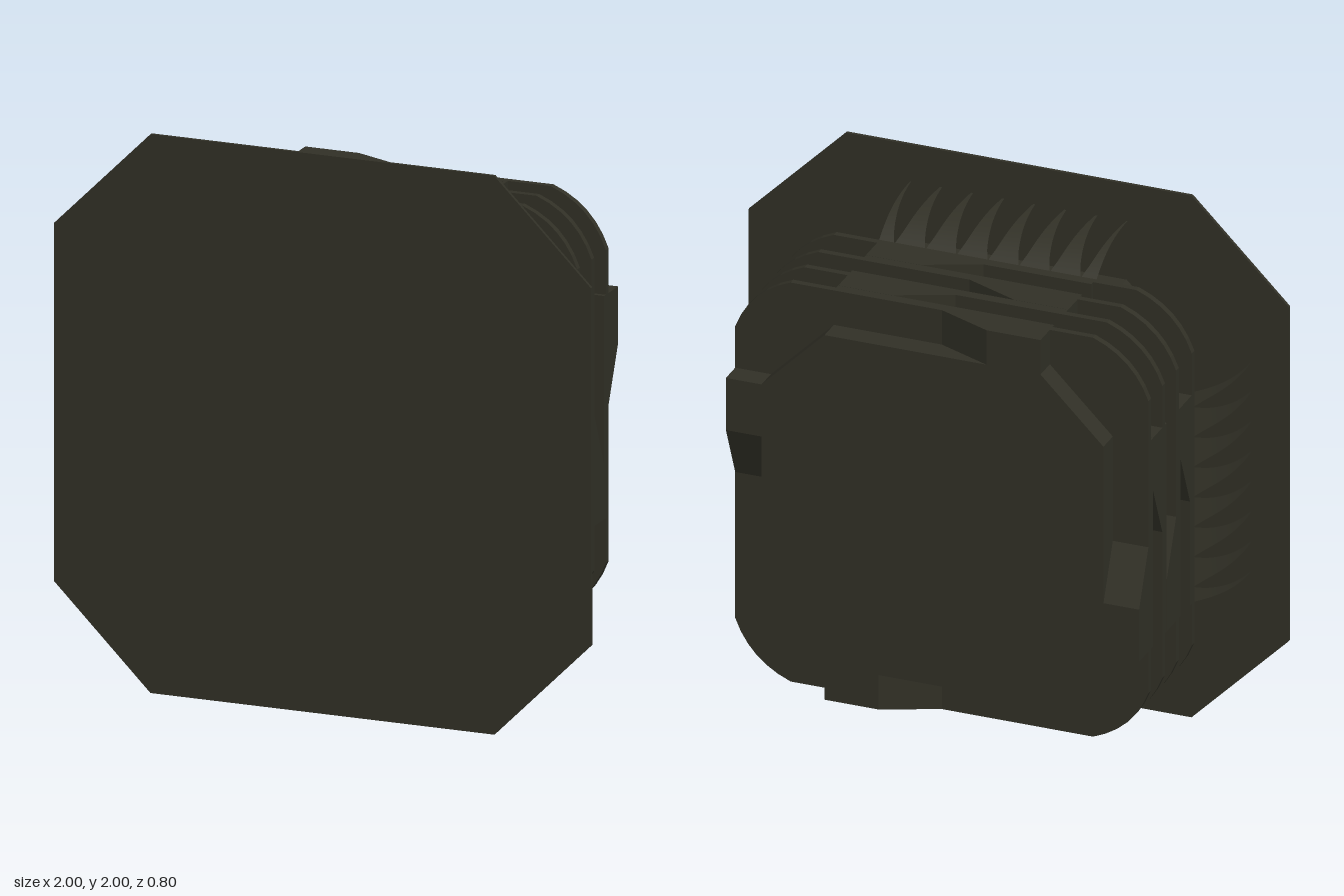
import * as THREE from 'three';

const olive = new THREE.MeshStandardMaterial({ color: 0x313026 });
olive.name = 'dark olive metal';
olive.side = THREE.DoubleSide;

function add(parent, name, geometry) {
  const mesh = new THREE.Mesh(geometry, olive);
  mesh.name = name;
  parent.add(mesh);
  return mesh;
}

// Square of half width h with cut corners; e is the half length of the straight edge
function octagonSlab(h, e, zBack, zFront) {
  const pts = [[e, h], [-e, h], [-h, e], [-h, -e], [-e, -h], [e, -h], [h, -e], [h, e]];
  const shape = new THREE.Shape(pts.map(p => new THREE.Vector2(...p)));
  const g = new THREE.ExtrudeGeometry(shape, { depth: zFront - zBack, bevelEnabled: false });
  return g.translate(0, 0, zBack);
}

// Rail along one side with a block that slopes away towards the middle
function railGeometry(zFront, zMid, zBack, s) {
  const pts = [[-0.4, zFront], [0.4, zFront], [0.4, zBack], [0.2, zBack], [0, zMid], [-0.4, zMid]];
  const shape = new THREE.Shape(pts.map(([x, z]) => new THREE.Vector2(x * s, z)));
  const g = new THREE.ExtrudeGeometry(shape, { depth: 0.14, bevelEnabled: false });
  return g.rotateX(Math.PI / 2).translate(0, 0.765, 0);
}

// Thin rounded fin corner
function cornerGeometry(z) {
  const s = new THREE.Shape();
  s.moveTo(0.4, 0.62);
  s.lineTo(0.4, 0.765);
  s.lineTo(0.56, 0.765);
  s.quadraticCurveTo(0.71, 0.71, 0.765, 0.56);
  s.lineTo(0.765, 0.4);
  s.lineTo(0.62, 0.4);
  const g = new THREE.ExtrudeGeometry(s, { depth: 0.024, bevelEnabled: false, curveSegments: 6 });
  return g.translate(0, 0, z);
}

// Curved claw, wide at the housing and pointed at the face plate
const clawCurve = new THREE.CubicBezierCurve(
  new THREE.Vector2(0.1, 0.76), new THREE.Vector2(0.18, 0.83),
  new THREE.Vector2(0.26, 0.86), new THREE.Vector2(0.39, 0.858));
function clawGeometry(cx) {
  const n = 14, pos = [], idx = [];
  for (let i = 0; i <= n; i++) {
    const t = i / n, p = clawCurve.getPoint(t);
    const w = 0.0575 - 0.054 * Math.pow(Math.max(0, (t - 0.04) / 0.96), 0.6);
    for (const side of [-1, 1]) {
      const x = THREE.MathUtils.clamp(cx + side * w, -0.4025, 0.4025);
      pos.push(x, p.y, p.x);
    }
    if (i < n) {
      const a = i * 2;
      idx.push(a, a + 2, a + 1, a + 1, a + 2, a + 3);
    }
  }
  const g = new THREE.BufferGeometry();
  g.setAttribute('position', new THREE.Float32BufferAttribute(pos, 3));
  g.setIndex(idx);
  g.computeVertexNormals();
  return g;
}

export function createModel() {
  const model = new THREE.Group();
  model.name = 'finnedHousing';
  const body = new THREE.Group();
  body.name = 'body';
  body.position.y = 1;
  model.add(body);

  add(body, 'facePlate', octagonSlab(1, 0.64, 0.386, 0.398));
  add(body, 'core', octagonSlab(0.633, 0.4, -0.398, 0.39));

  // Four identical sides, turned about the centre
  for (let q = 0; q < 4; q++) {
    const side = new THREE.Group();
    side.name = 'side' + (q + 1);
    side.rotation.z = -q * Math.PI / 2;
    body.add(side);

    for (let i = 0; i < 4; i++) {
      const zf = 0.105 - i * 0.126, zm = zf - 0.04, zb = zf - 0.125;
      add(side, 'rail', railGeometry(zf, zm, zb, i % 2 ? -1 : 1));
      add(side, 'finCorner', cornerGeometry(i ? zm : zf - 0.024));
    }
    for (let i = 0; i < 8; i++) add(side, 'claw', clawGeometry((i - 3.5) * 0.115));
  }
  return model;
}
